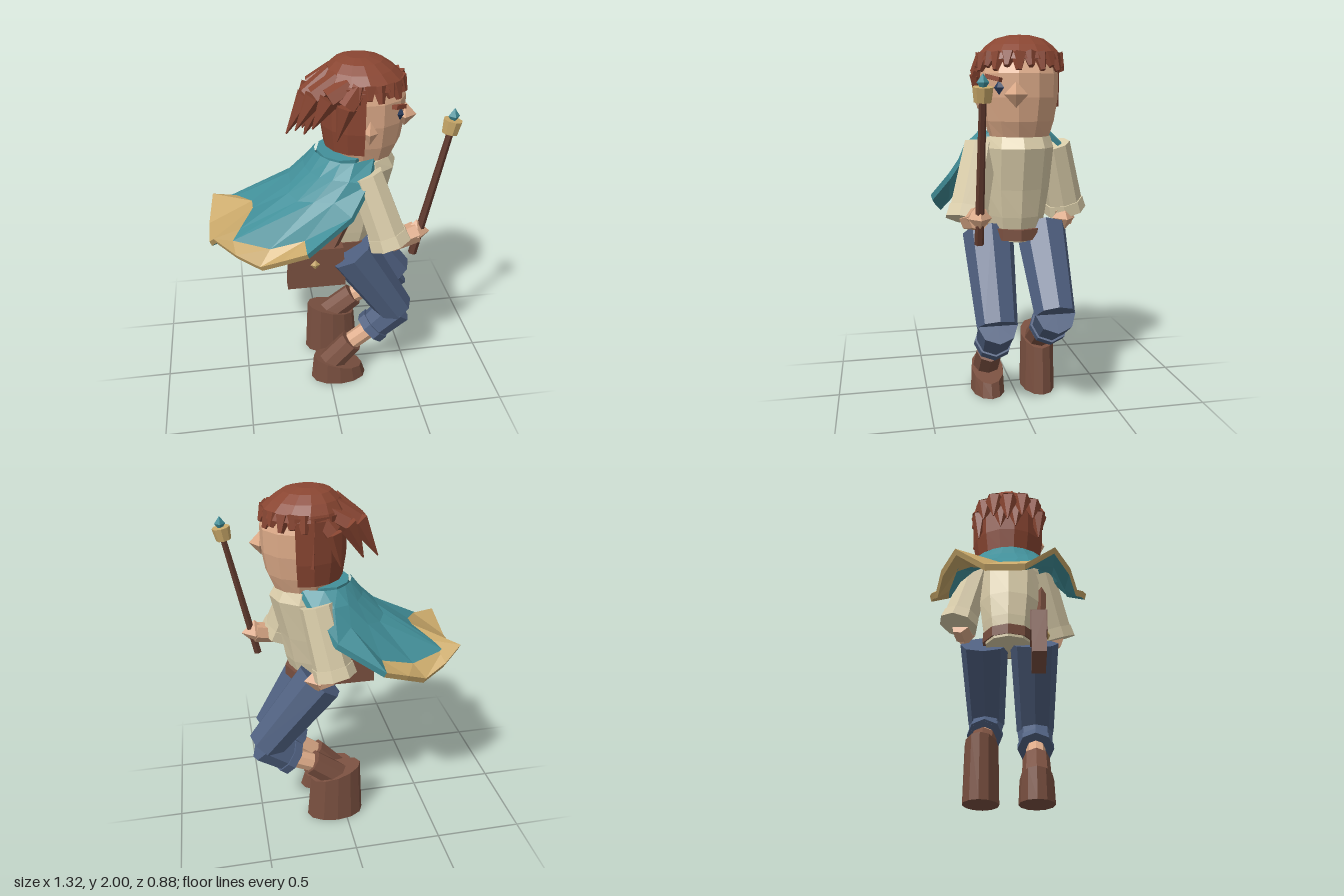
import * as THREE from 'three';

const paint = (name, color) => { const m = new THREE.MeshStandardMaterial({ color }); m.name = name; return m; };
const hair = paint('auburn', 0x8a4632), skin = paint('skin', 0xdba987), shirt = paint('cream', 0xd9cca9),
  teal = paint('teal', 0x42909a), gold = paint('gold', 0xcaa96a), denim = paint('denim', 0x4f6080),
  leather = paint('leather', 0x7a5040), wood = paint('darkWood', 0x613a2e), navy = paint('navy', 0x2b3d5e);
const V = (p) => new THREE.Vector3(...p);

// Faceted mesh with hard edges
function part(parent, name, geometry, material) {
  const g = geometry.index ? geometry.toNonIndexed() : geometry;
  g.computeVertexNormals();
  const mesh = new THREE.Mesh(g, material);
  mesh.name = name;
  parent.add(mesh);
  return mesh;
}

// Tapered cylinder from point a to point b
function limb(parent, name, a, b, ra, rb, material, sides = 8) {
  const A = V(a), B = V(b), d = B.clone().sub(A);
  const m = part(parent, name, new THREE.CylinderGeometry(rb, ra, d.length(), sides), material);
  m.position.copy(A).add(B).multiplyScalar(0.5);
  m.quaternion.setFromUnitVectors(new THREE.Vector3(0, 1, 0), d.normalize());
  return m;
}

function gem(parent, name, p, s, material) {
  const m = part(parent, name, new THREE.OctahedronGeometry(1), material);
  m.position.set(...p);
  m.scale.set(...s);
  return m;
}

function soup(points) {
  const g = new THREE.BufferGeometry();
  g.setAttribute('position', new THREE.Float32BufferAttribute(points.flat(), 3));
  return g;
}

// Closed skin over elliptical rings [x, y, z, rx, rz, tilt], bottom to top
function loft(rings, sides) {
  const all = [[...rings[0].slice(0, 3), 0, 0, 0], ...rings, [...rings.at(-1).slice(0, 3), 0, 0, 0]];
  const at = (i, j) => {
    const [x, y, z, rx, rz, tilt = 0] = all[i], t = (j / sides) * Math.PI * 2;
    return [x + rx * Math.cos(t), y + tilt * Math.cos(t), z + rz * Math.sin(t)];
  };
  const pts = [];
  for (let i = 0; i < all.length - 1; i++) for (let j = 0; j < sides; j++) {
    const a = at(i, j), b = at(i, j + 1), c = at(i + 1, j + 1), d = at(i + 1, j);
    if (i > 0) pts.push(a, c, b);
    if (i < all.length - 2) pts.push(a, d, c);
  }
  return soup(pts);
}

function buildHead(root) {
  const head = new THREE.Group();
  head.name = 'head';
  head.position.set(0.19, 0, -0.01);
  head.rotation.y = -0.21;
  root.add(head);
  part(head, 'face', loft([[0.02, 1.48, 0, 0.155, 0.16], [0.015, 1.56, 0, 0.195, 0.185], [0.01, 1.68, 0, 0.22, 0.205],
    [0.01, 1.8, 0, 0.22, 0.205], [0, 1.9, 0, 0.18, 0.18]], 12), skin);
  gem(head, 'nose', [0.23, 1.695, 0.014], [0.06, 0.065, 0.06], skin);
  gem(head, 'ear', [0.05, 1.655, 0.195], [0.04, 0.065, 0.035], skin);
  const eye = gem(head, 'eye', [0.201, 1.73, 0.1], [0.02, 0.037, 0.03], navy);
  eye.rotation.y = -0.5;
  const brow = part(head, 'eyebrow', new THREE.BoxGeometry(0.03, 0.022, 0.09), hair);
  brow.position.set(0.193, 1.777, 0.128);
  brow.rotation.set(-0.25, -0.6, 0);

  // Crown dome and the hair wrapped round the back
  part(head, 'hairCap', loft([[0, 1.87, 0, 0.225, 0.23], [0, 1.9, 0, 0.215, 0.22], [-0.012, 1.945, 0, 0.175, 0.18],
    [-0.02, 1.982, 0, 0.125, 0.13], [-0.025, 2, 0, 0.06, 0.065]], 14), hair);
  const wrap = [[0.15, 1.53], [0.2, 1.53], [0.219, 1.65], [0.227, 1.89]].map(([r, y]) => new THREE.Vector2(r, y));
  part(head, 'hairBack', new THREE.LatheGeometry(wrap, 8, Math.PI * 0.96, Math.PI * 1.08), hair);

  // Short tufts round the hairline
  for (let i = 0; i < 13; i++) {
    const t = -1.65 + i * 0.275, c = Math.cos(t), s = Math.sin(t), drop = i % 2 ? 1.835 : 1.815;
    limb(head, 'fringeTuft', [0.188 * c, 1.895, 0.193 * s], [0.222 * c, drop, 0.225 * s], 0.042, 0.016, hair, 5);
  }

  // Longer lock over the far side and tufts swept backwards
  const swept = new THREE.Group();
  swept.name = 'sweptHair';
  swept.position.x = 0.16;
  root.add(swept);
  limb(swept, 'sideLock', [0.01, 1.88, -0.185], [0.02, 1.63, -0.2], 0.05, 0.032, hair, 5);
  const tips = [[0, 1.92, -0.37, 1.6, 0], [0.085, 1.91, -0.33, 1.65, 0.085], [-0.085, 1.91, -0.33, 1.65, -0.085],
    [0.045, 1.84, -0.28, 1.61, 0.045], [-0.045, 1.84, -0.28, 1.61, -0.045], [0.15, 1.89, -0.25, 1.68, 0.15],
    [-0.15, 1.89, -0.25, 1.68, -0.15], [0.18, 1.89, -0.13, 1.62, 0.185], [-0.18, 1.89, -0.13, 1.62, -0.185]];
  for (const [z, y, tx, ty, tz] of tips) {
    const x = 0.06 - Math.sqrt(0.042 - z * z);
    const mid = [x * 0.5 + tx * 0.5, y * 0.5 + ty * 0.5 + 0.045, z * 0.4 + tz * 0.6];
    limb(swept, 'tuftRoot', [x + 0.02, y, z * 0.9], mid, 0.052, 0.056, hair, 6);
    limb(swept, 'tuftTip', mid, [tx, ty, tz], 0.056, 0.004, hair, 6);
  }
}

function buildCape(root) {
  // Half columns from the front edge to the back; rows run collar to hem
  const half = [
    [[0.23, 1.5, 0.16], [0.18, 1.41, 0.28], [0.08, 1.27, 0.36], [-0.16, 1.12, 0.44], [-0.16, 1.12, 0.44]],
    [[0.12, 1.5, 0.2], [0.08, 1.43, 0.27], [0, 1.33, 0.3], [-0.16, 1.14, 0.34], [-0.29, 1.07, 0.41]],
    [[0.05, 1.5, 0.19], [0, 1.43, 0.24], [-0.1, 1.32, 0.26], [-0.34, 1.09, 0.315], [-0.4, 1.02, 0.37]],
    [[0, 1.5, 0.15], [-0.06, 1.42, 0.18], [-0.18, 1.3, 0.2], [-0.53, 1.12, 0.25], [-0.52, 1.08, 0.33]],
    [[-0.04, 1.5, 0.09], [-0.1, 1.42, 0.11], [-0.22, 1.31, 0.12], [-0.49, 1.15, 0.19], [-0.63, 1.14, 0.25]],
    [[-0.06, 1.5, 0.03], [-0.12, 1.42, 0.04], [-0.2, 1.34, 0.06], [-0.41, 1.19, 0.04], [-0.66, 1.03, 0.1]],
  ];
  const cols = [...half, ...half.map((c) => c.map(([x, y, z]) => [x, y, -z])).reverse()];
  const under = ([x, y, z]) => [x + 0.012, y - 0.03, z * 0.98];
  const outer = [], band = [], lining = [];
  for (let i = 0; i < cols.length - 1; i++) {
    for (let r = 0; r < 4; r++) {
      const a = cols[i][r], b = cols[i + 1][r], c = cols[i + 1][r + 1], d = cols[i][r + 1];
      (r < 3 ? outer : band).push(a, b, c, a, c, d);
      // The hem colour folds under on one side only
      (r === 3 && i > 4 ? band : lining).push(...[a, c, b].map(under));
      (r === 3 && i > 6 ? band : lining).push(...[a, d, c].map(under));
    }
    const h = cols[i][4], k = cols[i + 1][4];
    band.push(h, k, under(k), h, under(k), under(h));
  }
  // Front edges
  for (const [c, flip] of [[cols[0], false], [cols.at(-1), true]]) for (let r = 0; r < 3; r++) {
    const q = [c[r], c[r + 1], under(c[r + 1]), c[r], under(c[r + 1]), under(c[r])];
    outer.push(...(flip ? q.reverse() : q));
  }
  part(root, 'cape', soup(outer), teal);
  part(root, 'capeHem', soup(band), gold);
  part(root, 'capeLining', soup(lining), teal);
  part(root, 'capeCollar', loft([[0.09, 1.47, 0, 0.14, 0.17], [0.09, 1.5, 0, 0.14, 0.17]], 10), teal);
}

function buildArm(root, shoulder, cuff, wrist, hand) {
  const near = V(shoulder).lerp(V(cuff), 0.84).toArray();
  limb(root, 'sleeve', shoulder, cuff, 0.095, 0.108, shirt, 8);
  limb(root, 'sleeveCuff', near, cuff, 0.112, 0.12, shirt, 8);
  limb(root, 'forearm', wrist, hand, 0.055, 0.06, skin, 6);
  gem(root, 'hand', hand, [0.078, 0.078, 0.065], skin);
}

function buildLeg(root, { z, hip, knee, cuff, rim, ankle, heel, toe }) {
  const at = ([x, y]) => [x, y, z];
  limb(root, 'thigh', at(hip), at(knee), 0.142, 0.11, denim, 8);
  limb(root, 'kneeAndCalf', [knee[0] + 0.01, knee[1] + 0.01, z], at(cuff), 0.108, 0.09, denim, 8);
  const c = V(at(knee)).lerp(V(at(cuff)), 0.75).toArray();
  limb(root, 'trouserCuff', c, at(cuff), 0.105, 0.105, denim, 8);
  limb(root, 'shin', at(cuff), at(rim), 0.055, 0.055, skin, 8);
  limb(root, 'bootShaft', at(rim), at(ankle), 0.075, 0.08, leather, 8);
  const top = (heel + toe) / 2, tilt = (toe - heel) / 2;
  part(root, 'boot', loft([[0.06, 0, z, 0.17, 0.098], [0.055, top, z, 0.15, 0.092, tilt]], 12), leather);
}

export function createModel() {
  const root = new THREE.Group();
  root.name = 'youngAdventurer';
  buildHead(root);

  // Torso
  part(root, 'shirt', loft([[0.1, 0.91, 0, 0.17, 0.14], [0.12, 1.05, 0, 0.19, 0.165], [0.14, 1.2, 0, 0.195, 0.185],
    [0.19, 1.42, 0, 0.195, 0.195], [0.18, 1.48, 0, 0.17, 0.18]], 10), shirt);
  part(root, 'shirtCollar', loft([[0.16, 1.46, 0, 0.12, 0.12], [0.16, 1.53, 0, 0.11, 0.11]], 10), shirt);
  part(root, 'belt', loft([[0.12, 0.925, 0, 0.195, 0.16], [0.12, 0.985, 0, 0.195, 0.16]], 10), leather);
  buildCape(root);

  // Arms
  buildArm(root, [0.18, 1.43, 0.195], [0.31, 1.05, 0.292], [0.31, 1.05, 0.28], [0.46, 1.085, 0.25]);
  buildArm(root, [0.16, 1.43, -0.205], [0.085, 1.05, -0.3], [0.1, 1.05, -0.29], [0.17, 1.02, -0.27]);

  // Legs, one knee raised higher
  buildLeg(root, { z: 0.148, hip: [0.115, 0.94], knee: [0.4, 0.49], cuff: [0.25, 0.345], rim: [0.14, 0.26], ankle: [0, 0.1], heel: 0.17, toe: 0.08 });
  buildLeg(root, { z: -0.148, hip: [0.14, 0.95], knee: [0.465, 0.555], cuff: [0.31, 0.44], rim: [0.2, 0.39], ankle: [0.01, 0.24], heel: 0.35, toe: 0.27 });

  // Wand
  limb(root, 'wandShaft', [0.45, 0.95, 0.25], [0.6, 1.67, 0.25], 0.024, 0.018, wood, 6);
  limb(root, 'wandCollar', [0.595, 1.66, 0.25], [0.607, 1.73, 0.25], 0.042, 0.05, gold, 8);
  gem(root, 'wandGem', [0.61, 1.75, 0.25], [0.03, 0.042, 0.03], teal);

  // Satchel, wider at the bottom
  const bag = new THREE.Group();
  bag.name = 'satchel';
  root.add(bag);
  const box = new THREE.BoxGeometry(0.3, 0.25, 0.08), p = box.attributes.position;
  for (let i = 0; i < p.count; i++) if (p.getY(i) < 0) p.setX(i, p.getX(i) * 1.1);
  part(bag, 'bagBody', box, leather).position.set(-0.08, 0.865, 0.17);
  part(bag, 'bagFlap', new THREE.BoxGeometry(0.29, 0.12, 0.095), leather).position.set(-0.08, 0.935, 0.17);
  gem(bag, 'clasp', [-0.09, 0.9, 0.22], [0.027, 0.03, 0.015], gold);
  limb(bag, 'strap', [0, 0.96, 0.18], [0.17, 1.36, 0.2], 0.03, 0.03, leather, 4);
  return root;
}
